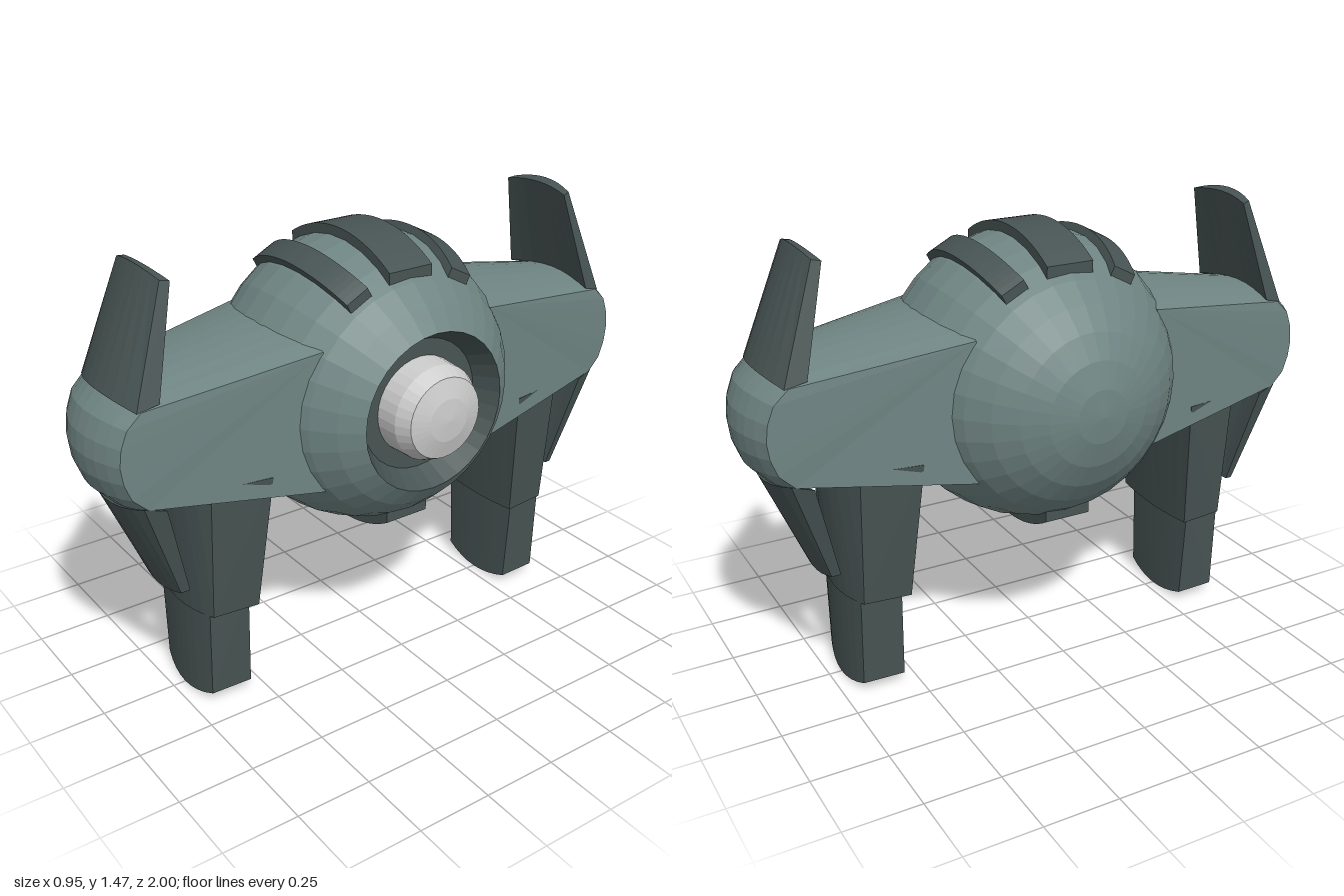
import * as THREE from 'three';

const CY = 0.94; // height of the body centre
const R = 0.477; // body radius

const mat = (name, color) => {
  const m = new THREE.MeshStandardMaterial({ color, flatShading: true });
  m.name = name;
  return m;
};

// Solid swept across x from a convex side profile.
// Each point: [y, z, halfWidth, bulgeY, bulgeZ]; the bulge peaks at x = 0.
function bulgedSolid(profile, cols = 8) {
  const pos = [];
  const n = profile.length;
  const at = (i, u) => {
    const [y, z, w, by, bz] = profile[i % n];
    const k = 1 - u * u;
    return [w * u, y + by * k, z + bz * k];
  };
  const tri = (a, b, c) => pos.push(...a, ...b, ...c);
  for (let c = 0; c < cols; c++) {
    const u0 = -1 + (2 * c) / cols, u1 = -1 + (2 * (c + 1)) / cols;
    for (let i = 0; i < n; i++) {
      tri(at(i, u0), at(i + 1, u0), at(i + 1, u1));
      tri(at(i, u0), at(i + 1, u1), at(i, u1));
    }
  }
  for (let i = 1; i < n - 1; i++) {
    tri(at(0, 1), at(i, 1), at(i + 1, 1));
    tri(at(0, -1), at(i + 1, -1), at(i, -1));
  }
  const g = new THREE.BufferGeometry();
  g.setAttribute('position', new THREE.Float32BufferAttribute(pos, 3));
  g.computeVertexNormals();
  return g;
}

// Mirror a profile about the body centre height, keeping its winding
const flip = (p) => p.map(([y, z, w, by, bz]) => [2 * CY - y, z, w, -by, bz]).reverse();

// Lathe about the x axis; points are [radius, x]
function latheX(points) {
  const g = new THREE.LatheGeometry(points.map(([r, x]) => new THREE.Vector2(r, x)), 32);
  return g.rotateZ(-Math.PI / 2);
}

// Curved band hugging the body, cut square at its ends
function bandGeometry(halfDepth) {
  const outer = 0.5, inner = 0.44, end = 0.265;
  const a = Math.acos(end / outer), b = Math.acos(end / inner);
  const s = new THREE.Shape();
  s.absarc(0, 0, outer, a, Math.PI - a, false);
  s.absarc(0, 0, inner, Math.PI - b, b, true);
  s.closePath();
  const g = new THREE.ExtrudeGeometry(s, { depth: halfDepth * 2, bevelEnabled: false, curveSegments: 12 });
  return g.translate(0, 0, -halfDepth);
}

export function createModel() {
  const root = new THREE.Group();
  root.name = 'model';
  const hull = mat('hull grey green', 0x6f8583);
  const dark = mat('dark grey green', 0x475453);
  const pale = mat('pale grey', 0xcccccc);

  const add = (parent, name, geo, material) => {
    const m = new THREE.Mesh(geo, material);
    m.name = name;
    parent.add(m);
    return m;
  };

  // Round body, cut off flat at one side for the eye
  const core = new THREE.Group();
  core.name = 'body';
  core.position.y = CY;
  root.add(core);
  const cut = Math.acos(0.4 / R);
  const arc = [];
  for (let i = 0; i <= 14; i++) {
    const t = Math.PI + (cut - Math.PI) * (i / 14);
    arc.push([Math.max(0, R * Math.sin(t)), R * Math.cos(t)]);
  }
  add(core, 'bodyShell', latheX(arc), hull);
  add(core, 'eyeSocket', latheX([[R * Math.sin(cut), 0.4], [0.215, 0.32], [0.1, 0.32]]), dark);
  add(core, 'eyeLens', latheX([[0.16, 0.32], [0.156, 0.4], [0.132, 0.448], [0.07, 0.466], [0, 0.472]]), pale);

  // Raised bands: three on top, one below
  const wide = bandGeometry(0.08), slim = bandGeometry(0.042);
  add(core, 'topBand', wide, dark);
  add(core, 'bottomBand', wide, dark).rotation.x = Math.PI;
  for (const s of [1, -1]) add(core, 'sideBand', slim, dark).rotation.x = s * 0.48;

  // Arm with rounded nose
  const armTop = [
    [1.172, 0.32, 0.268, 0.045, 0],
    [1.095, 0.875, 0.186, 0.028, 0.04],
    [1.05, 0.922, 0.183, 0.015, 0.047],
    [0.995, 0.943, 0.181, 0.006, 0.05],
  ];
  const armGeo = bulgedSolid([...armTop, [CY, 0.95, 0.18, 0, 0.05], ...flip(armTop)]);

  // Swept fin, mirrored for the lower one
  const fin = [
    [1.44, 0.737, 0.14, 0.015, 0.012],
    [1.445, 0.765, 0.132, 0.02, 0.015],
    [1.092, 0.887, 0.181, 0.026, 0.042],
    [1.11, 0.82, 0.193, 0.02, 0.02],
  ];
  const upperFinGeo = bulgedSolid(fin);
  const lowerFinGeo = bulgedSolid(flip(fin));

  // Two-step leg
  const upperLegGeo = bulgedSolid([
    [0.8, 0.49, 0.245, 0, -0.01],
    [0.8, 0.685, 0.212, 0, 0.058],
    [0.335, 0.68, 0.175, -0.006, 0.036],
    [0.335, 0.525, 0.19, -0.006, -0.01],
  ]);
  const lowerLegGeo = bulgedSolid([
    [0.4, 0.55, 0.172, 0, -0.01],
    [0.4, 0.685, 0.162, 0, 0.025],
    [0.03, 0.685, 0.147, -0.03, 0.022],
    [0.03, 0.545, 0.152, -0.03, -0.01],
  ]);

  // Front and back limbs
  for (const [name, turn] of [['frontLimb', 0], ['backLimb', Math.PI]]) {
    const limb = new THREE.Group();
    limb.name = name;
    limb.rotation.y = turn;
    add(limb, 'arm', armGeo, hull);
    add(limb, 'upperFin', upperFinGeo, dark);
    add(limb, 'lowerFin', lowerFinGeo, dark);
    add(limb, 'upperLeg', upperLegGeo, dark);
    add(limb, 'lowerLeg', lowerLegGeo, dark);
    root.add(limb);
  }
  return root;
}
